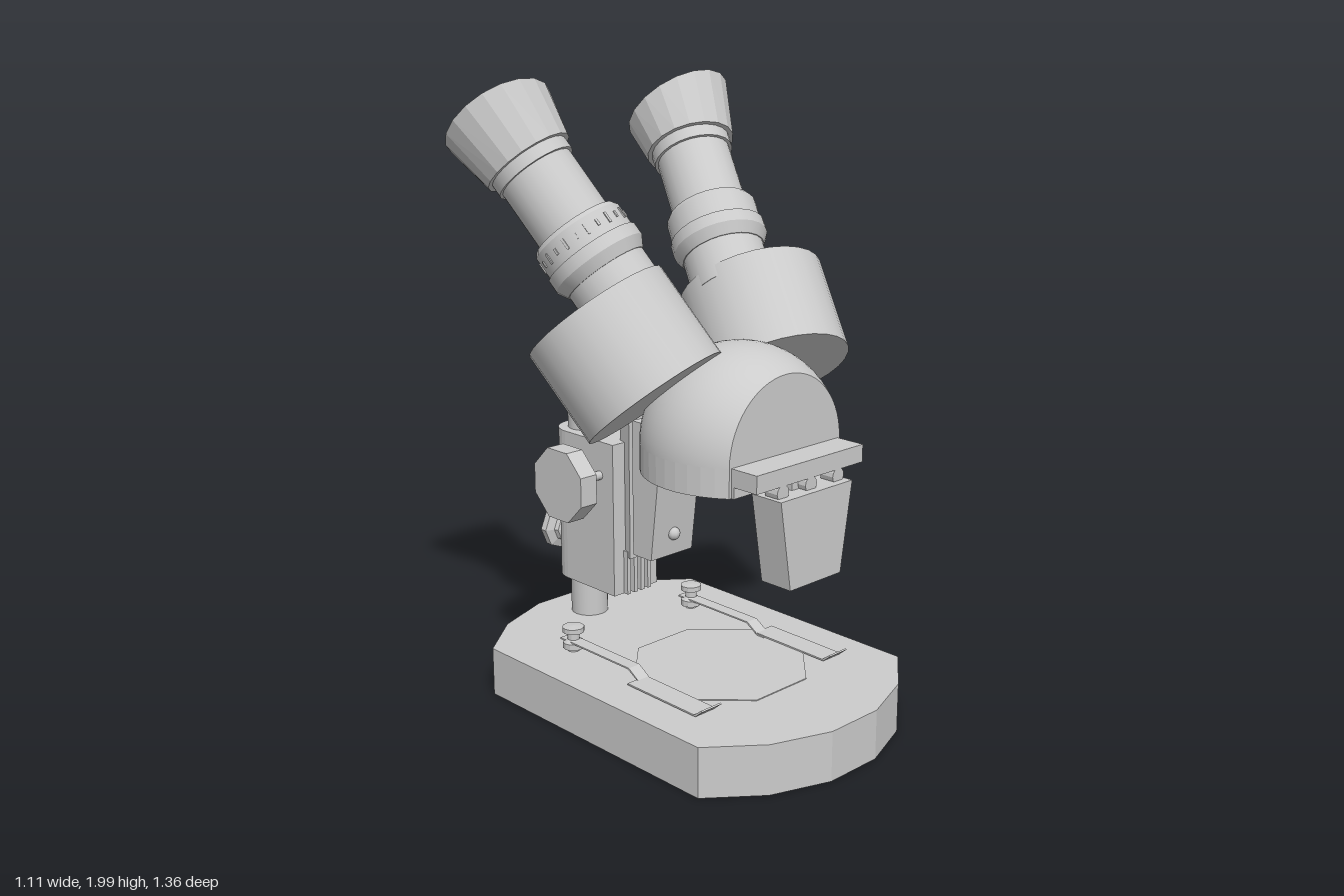
import * as THREE from 'three';

const smooth = new THREE.MeshStandardMaterial({ color: 0xcccccc, side: THREE.DoubleSide });
const flat = new THREE.MeshStandardMaterial({ color: 0xcccccc, flatShading: true, side: THREE.DoubleSide });
const V2 = (p) => p.map(([a, b]) => new THREE.Vector2(a, b));

function add(parent, name, geo, mat = flat, x = 0, y = 0, z = 0) {
  const m = new THREE.Mesh(geo, mat);
  m.name = name;
  m.position.set(x, y, z);
  parent.add(m);
  return m;
}

// Horizontal slab from [x, z] outlines, between two heights
function slab(outline, y0, y1, hole) {
  const shape = new THREE.Shape(V2(outline.map(([x, z]) => [x, -z])));
  if (hole) shape.holes.push(new THREE.Path(V2(hole.map(([x, z]) => [x, -z]))));
  return new THREE.ExtrudeGeometry(shape, { depth: y1 - y0, bevelEnabled: false, curveSegments: 16 })
    .rotateX(-Math.PI / 2).translate(0, y0, 0);
}

// Side profile of [z, y] points, extruded across x
function sideways(profile, width) {
  return new THREE.ExtrudeGeometry(new THREE.Shape(V2(profile.map(([z, y]) => [-z, y]))),
    { depth: width, bevelEnabled: false }).rotateY(Math.PI / 2).translate(-width / 2, 0, 0);
}

const box = (w, y0, y1, z0, z1, x = 0) =>
  new THREE.BoxGeometry(w, y1 - y0, z1 - z0).translate(x, (y0 + y1) / 2, (z0 + z1) / 2);

const ngon = (n, r, z, turn = 0) => Array.from({ length: n }, (_, i) => {
  const a = (i / n) * Math.PI * 2 + turn;
  return [r * Math.cos(a), z + r * Math.sin(a)];
});

const lathe = (p, n) => new THREE.LatheGeometry(V2(p), n);

function buildBase(g) {
  const base = new THREE.Group();
  base.name = 'base';
  g.add(base);
  const quarter = [[0.45, 0.48], [0.29, 0.61], [0.1, 0.68]];
  const front = [...quarter, ...quarter.map(([x, z]) => [-x, z]).reverse()];
  const outline = [...front, ...front.map(([x, z]) => [-x, -z])];
  const inner = outline.map(([x, z]) => [x * 0.93, z * 0.95]);
  add(base, 'baseWall', slab(outline, 0, 0.13, inner));
  add(base, 'baseTop', slab(outline, 0.13, 0.16));
  add(base, 'stagePlate', slab(ngon(8, 0.29, 0.12, Math.PI / 8), 0.16, 0.163));
  add(base, 'stageRing', slab(ngon(8, 0.33, 0.12, Math.PI / 8), 0.1, 0.13, ngon(8, 0.3, 0.12, Math.PI / 8)));

  // Spring clips with their thumb posts
  for (const s of [-1, 1]) {
    const x = s * 0.265;
    add(base, 'clipPost', lathe([[0, 0.08], [0.02, 0.08], [0.02, 0.17], [0.035, 0.17], [0.035, 0.19],
      [0.02, 0.2], [0.02, 0.222], [0.036, 0.225], [0.036, 0.242], [0, 0.245]], 12), flat, x, 0, -0.29);
    add(base, 'clipStrap', sideways([[-0.33, 0.192], [0, 0.192], [0.05, 0.163], [0.08, 0.163],
      [0.08, 0.168], [0.05, 0.168], [0.005, 0.197], [-0.33, 0.197]], 0.045), flat, x, 0, 0);
    add(base, 'clipFoot', sideways([[0.04, 0.165], [0.34, 0.163], [0.37, 0.188],
      [0.365, 0.191], [0.335, 0.168], [0.04, 0.17]], 0.08), flat, x + s * 0.02, 0, 0);
  }
}

function buildStand(g) {
  const stand = new THREE.Group();
  stand.name = 'stand';
  g.add(stand);
  const zc = -0.52;
  add(stand, 'column', new THREE.CylinderGeometry(0.063, 0.063, 0.86, 20), smooth, 0, 0.57, zc);
  add(stand, 'columnCap', lathe([[0.063, 1.0], [0.045, 1.018], [0, 1.024]], 8), flat, 0, 0, zc);

  // Focus housing: square front, round back
  const back = Array.from({ length: 17 }, (_, i) => {
    const a = (i / 16) * Math.PI;
    return [0.095 * Math.cos(a), zc - 0.095 * Math.sin(a)];
  });
  add(stand, 'focusHousing', slab([[-0.095, -0.28], [0.095, -0.28], ...back], 0.3, 0.82));

  // Dovetail slide and rack
  add(stand, 'dovetail', slab([[-0.055, -0.245], [0.055, -0.245], [0.035, -0.31], [-0.035, -0.31]], 0.43, 0.92));
  for (const x of [-0.045, -0.015, 0.015, 0.045])
    add(stand, 'rackRib', box(0.015, 0.3, 0.45, -0.285, -0.262, x));

  // Focus shaft and knobs
  add(stand, 'focusShaft', new THREE.CylinderGeometry(0.015, 0.015, 0.44, 10).rotateZ(Math.PI / 2), smooth, 0, 0.705, -0.345);
  for (const s of [-1, 1]) {
    const knob = new THREE.CylinderGeometry(0.125, 0.125, 0.065, 8).rotateY(Math.PI / 8).rotateZ(Math.PI / 2);
    add(stand, 'focusKnob', knob, flat, s * 0.24, 0.71, -0.345);
    add(stand, 'knobCollar', new THREE.CylinderGeometry(0.026, 0.026, 0.03, 10).rotateZ(Math.PI / 2), flat, s * 0.195, 0.705, -0.345);
  }

  // Column lock knob at the back
  add(stand, 'lockKnob', lathe([[0, 0.59], [0.03, 0.59], [0.03, 0.625], [0.045, 0.63], [0.05, 0.645],
    [0.08, 0.655], [0.08, 0.68], [0, 0.68]], 8).rotateX(-Math.PI / 2), flat, 0, 0.43, 0);
}

function buildHead(g) {
  const head = new THREE.Group();
  head.name = 'head';
  g.add(head);
  const R = 0.305, zc = 0.2, cut = 0.19;
  const a0 = Math.asin(cut / R);

  // Skirt and dome, both cut off flat at the front
  const skirt = Array.from({ length: 33 }, (_, i) => {
    const t = Math.PI - a0 + (i / 32) * (Math.PI + 2 * a0);
    return [R * Math.cos(t), zc + R * Math.sin(t)];
  });
  add(head, 'headSkirt', slab(skirt, 0.83, 0.92));
  const theta = Math.acos(cut / R);
  add(head, 'dome', new THREE.SphereGeometry(R, 28, 24, Math.PI, Math.PI, theta, Math.PI - theta)
    .rotateX(Math.PI / 2), smooth, 0, 0.92, zc);
  add(head, 'domeFace', new THREE.CircleGeometry(R * Math.sin(theta), 28, 0, Math.PI), flat, 0, 0.92, zc + cut);

  // Front bracket carrying the tapered lamp block
  add(head, 'frontBar', box(0.46, 0.865, 0.92, 0.38, 0.49));
  add(head, 'barPlate', box(0.46, 0.83, 0.87, 0.375, 0.4));
  add(head, 'lampNeck', box(0.1, 0.82, 0.87, 0.4, 0.46));
  for (const x of [-0.12, 0, 0.12])
    add(head, 'lampScrew', new THREE.CylinderGeometry(0.025, 0.025, 0.05, 12).rotateX(Math.PI / 2), flat, x, 0.845, 0.465);
  const lamp = new THREE.Shape(V2([[-0.11, 0.55], [0.11, 0.55], [0.155, 0.83], [-0.155, 0.83]]));
  add(head, 'lampBlock', new THREE.ExtrudeGeometry(lamp, { depth: 0.115, bevelEnabled: false }), flat, 0, 0, 0.4);
  add(head, 'lampLens', new THREE.CylinderGeometry(0.035, 0.035, 0.02, 16), flat, 0, 0.547, 0.457);

  // Objective rings underneath
  for (const s of [-1, 1])
    add(head, 'objectiveRing', new THREE.TorusGeometry(0.04, 0.009, 6, 16).rotateX(Math.PI / 2), smooth, s * 0.07, 0.83, 0.12);

  // Rear arm
  add(head, 'rearArm', sideways([[-0.06, 0.84], [-0.105, 0.47], [-0.19, 0.47], [-0.19, 0.92], [-0.06, 0.92]], 0.18));
  add(head, 'armScrew', new THREE.SphereGeometry(0.022, 10, 8), smooth, 0, 0.545, -0.095);
}

function buildEyepiece(g, s) {
  const side = new THREE.Group();
  side.name = s > 0 ? 'leftEyepiece' : 'rightEyepiece';
  g.add(side);
  const dir = new THREE.Vector3(s * 0.28, 1, -0.77).normalize();
  const tilt = new THREE.Quaternion().setFromUnitVectors(new THREE.Vector3(0, 1, 0), dir);

  const pod = add(side, 'prismHousing', new THREE.CylinderGeometry(0.235, 0.235, 0.31, 28), smooth, s * 0.295, 1.2, 0.015);
  pod.quaternion.copy(tilt);

  const tube = new THREE.Group();
  tube.name = 'eyeTube';
  tube.position.set(s * 0.23, 1.354, -0.07);
  tube.quaternion.copy(tilt);
  side.add(tube);
  const cyl = (name, r0, r1, y0, y1) =>
    add(tube, name, new THREE.CylinderGeometry(r1, r0, y1 - y0, 24), smooth, 0, (y0 + y1) / 2, 0);
  cyl('lowerTube', 0.132, 0.132, -0.04, 0.1);
  cyl('collarCone', 0.135, 0.155, 0.085, 0.12);
  cyl('collarRing', 0.155, 0.155, 0.12, 0.16);
  cyl('collar', 0.148, 0.148, 0.16, 0.235);
  cyl('collarLip', 0.148, 0.138, 0.235, 0.25);
  cyl('upperTube', 0.121, 0.121, 0.24, 0.47);
  cyl('tubeNeck', 0.131, 0.131, 0.455, 0.5);

  // Focus scale marks on one collar only
  if (s < 0) for (let i = 0; i < 24; i++) {
    const a = (i / 24) * Math.PI * 2;
    const mark = add(tube, 'scaleMark', new THREE.BoxGeometry(0.008, i % 2 ? 0.02 : 0.035, 0.006),
      flat, 0.148 * Math.sin(a), 0.2, 0.148 * Math.cos(a));
    mark.rotation.y = a;
  }

  // Flared eyecup: the rim rises towards the outer front
  const cup = lathe([[0.125, 0], [0.146, 0], [0.178, 0.165], [0.168, 0.165], [0.14, 0.06], [0.118, 0.055]], 18);
  const p = cup.attributes.position;
  for (let i = 0; i < p.count; i++) {
    const y = p.getY(i);
    if (y > 0.1) p.setY(i, y + 0.2 * (s * 0.8 * p.getX(i) + 0.6 * p.getZ(i)));
  }
  cup.computeVertexNormals();
  add(tube, 'eyecup', cup, flat, 0, 0.495, 0);
  add(tube, 'ocular', lathe([[0.122, 0], [0.122, 0.06], [0.108, 0.065], [0.1, 0.045], [0.085, 0.045],
    [0.08, 0.06], [0.07, 0.06], [0.06, 0.01], [0, 0.01]], 24), flat, 0, 0.495, 0);
}

export function createModel() {
  const g = new THREE.Group();
  g.name = 'stereoMicroscope';
  buildBase(g);
  buildStand(g);
  buildHead(g);
  for (const s of [-1, 1]) buildEyepiece(g, s);
  return g;
}
